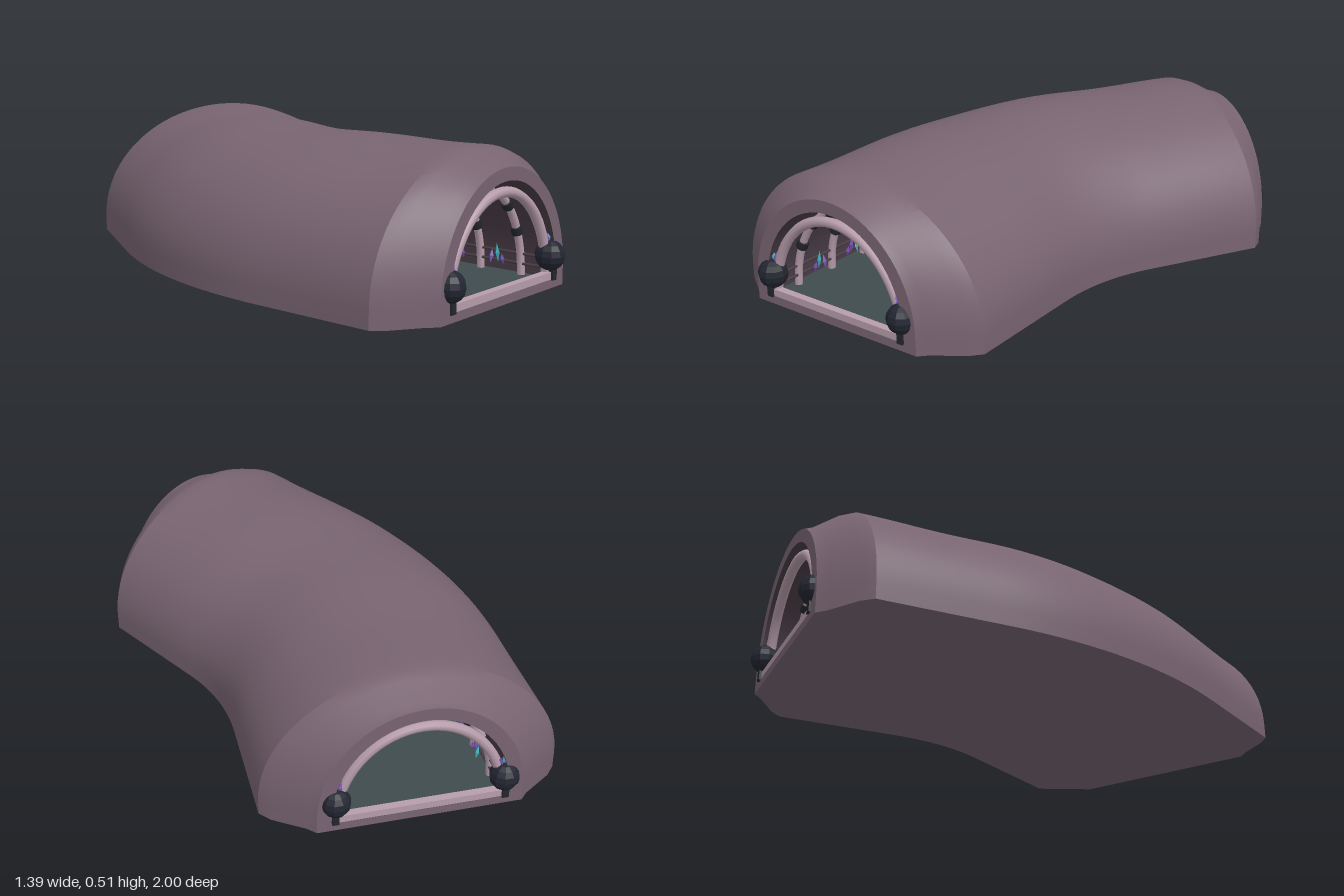
import * as THREE from 'three';
import { toCreasedNormals } from 'three/addons/utils/BufferGeometryUtils.js';

const mat = (name, color, extra = {}) => {
  const m = new THREE.MeshStandardMaterial({ color, ...extra });
  m.name = name;
  return m;
};

// Centre line: straight, a 30 degree bend, straight again
const S1 = 0.61, R = 1.3, BEND = Math.PI / 6, S2 = S1 + R * BEND, END = S2 + 0.6;
const FLOOR = 0.03;

function frame(s) {
  const a = THREE.MathUtils.clamp((s - S1) / R, 0, BEND);
  const extra = s < S1 ? s : s > S2 ? s - S2 : 0;
  let x = -0.17, z = 0.96 - s;
  if (s >= S1) {
    x = -0.17 + R * (1 - Math.cos(a)) + Math.sin(a) * extra;
    z = 0.35 - R * Math.sin(a) - Math.cos(a) * extra;
  }
  return { x, z, a };
}

// Point at distance s along the tunnel, u sideways, y up
function place(s, u, y) {
  const f = frame(s);
  return new THREE.Vector3(f.x + u * Math.cos(f.a), y, f.z + u * Math.sin(f.a));
}

// Arch cross-section: short upright foot, then half an ellipse
function archPoint(s, w, h, base, t) {
  return place(s, -w * Math.cos(t * Math.PI), base + (h - base) * Math.sin(t * Math.PI));
}
function archRow(s, w, h, n = 40) {
  const row = [place(s, -w, 0)];
  for (let j = 0; j <= n; j++) row.push(archPoint(s, w, h, 0.06, j / n));
  row.push(place(s, w, 0));
  return row;
}

// Skin over a series of equally long point rows
function loft(rows, flip = false) {
  const n = rows[0].length, pos = [], idx = [];
  rows.forEach((r) => r.forEach((p) => pos.push(p.x, p.y, p.z)));
  for (let i = 0; i < rows.length - 1; i++) {
    for (let j = 0; j < n - 1; j++) {
      const a = i * n + j, b = a + 1, c = a + n, d = c + 1;
      if (flip) idx.push(a, c, b, b, c, d);
      else idx.push(a, b, c, b, d, c);
    }
  }
  const g = new THREE.BufferGeometry();
  g.setAttribute('position', new THREE.Float32BufferAttribute(pos, 3));
  g.setIndex(idx);
  return toCreasedNormals(g, 0.4);
}

export function createModel() {
  const model = new THREE.Group();
  model.name = 'curvedTunnel';
  const rock = mat('mauve rock', 0x786471);
  const wall = mat('dark inner rock', 0x4a3d46);
  const floorMat = mat('slate floor', 0x3e4b4d);
  const bone = mat('pale pink ribs', 0xb79dab);
  const iron = mat('black iron', 0x24262e);
  const orbMat = mat('dark orb', 0x232631, { flatShading: true });
  const violet = mat('violet crystal', 0x7d52b8, { flatShading: true });
  const cyan = mat('cyan crystal', 0x3fb0ba, { flatShading: true });

  const add = (name, geo, material, parent = model) => {
    const m = new THREE.Mesh(geo, material);
    m.name = name;
    parent.add(m);
    return m;
  };
  const group = (name) => {
    const g = new THREE.Group();
    g.name = name;
    model.add(g);
    return g;
  };
  const tube = (name, pts, r, material, parent) =>
    add(name, new THREE.TubeGeometry(new THREE.CatmullRomCurve3(pts), 36, r, 8), material, parent);
  const range = (n, f) => Array.from({ length: n + 1 }, (_, i) => f(i / n));

  // Outer shell with chamfered mouths, including both end faces
  const W = 0.53, H = 0.508;
  const chamfer = [[0, 0.31, 0.405], [0, 0.36, 0.45], [0.03, 0.39, 0.457], [0.1, 0.495, 0.498]];
  const rows = [
    ...chamfer.map(([s, w, h]) => archRow(s, w, h)),
    ...range(36, (t) => {
      const s = 0.14 + t * (END - 0.28);
      return archRow(s, W, H + 0.003 * Math.cos(s * 11));
    }),
    ...[...chamfer].reverse().map(([s, w, h]) => archRow(END - s, w, h)),
  ];
  add('outerShell', loft(rows), rock);

  // Underside joins the two feet of every outer row
  const feet = rows.slice(1, -1).map((r) => [r[0], r[r.length - 1]]);
  add('underside', loft(feet, true), rock);

  // Inner wall and floor
  add('innerWall', loft(range(36, (t) => archRow(t * END, 0.31, 0.405)), true), wall);
  const line = (s, y) => [place(s, -0.31, y), place(s, 0.31, y)];
  add('floor', loft(range(36, (t) => line(t * END, FLOOR))), floorMat);
  add('frontThreshold', loft([line(0, 0), line(0, FLOOR)]), rock);
  add('backThreshold', loft([line(END, FLOOR), line(END, 0)]), rock);

  // Support ribs, each wrapped with iron clamps
  const ribs = group('ribs');
  const clamps = group('clamps');
  const clampGeo = new THREE.CylinderGeometry(0.021, 0.021, 0.028, 8);
  const up = new THREE.Vector3(0, 1, 0);
  const RIBS = 11;
  const ribAt = (i) => 0.12 + (i / (RIBS - 1)) * (END - 0.24);
  for (let i = 0; i < RIBS; i++) {
    const s = ribAt(i);
    const pts = range(20, (t) => archPoint(s, 0.285, 0.375, FLOOR, t));
    tube('rib', pts, 0.014, bone, ribs);
    for (const t of [0.155, 0.27, 0.385, 0.5, 0.615, 0.73, 0.845]) {
      const c = add('clamp', clampGeo, iron, clamps);
      c.position.copy(archPoint(s, 0.285, 0.375, FLOOR, t));
      const dir = archPoint(s, 0.285, 0.375, FLOOR, t + 0.01).sub(c.position).normalize();
      c.quaternion.setFromUnitVectors(up, dir);
    }
  }

  // Rails running the length of the tunnel
  const rails = group('rails');
  for (const side of [-1, 1]) {
    for (const y of [0.07, 0.105]) {
      tube('rail', range(30, (t) => place(0.04 + t * (END - 0.08), side * 0.278, y)), 0.005, wall, rails);
    }
  }

  // Crystal clusters between the ribs along both walls
  const crystals = group('crystals');
  const crystalGeo = new THREE.OctahedronGeometry(1);
  const crystal = (p, h, tilt, material) => {
    const c = add('crystal', crystalGeo, material, crystals);
    c.position.copy(p);
    c.scale.set(0.009, h, 0.009);
    c.rotation.z = tilt;
  };
  for (let i = 0; i < RIBS - 1; i++) {
    const s = (ribAt(i) + ribAt(i + 1)) / 2;
    for (const side of [-1, 1]) {
      crystal(place(s, side * 0.262, 0.098), 0.036, side * 0.15, i % 2 ? violet : cyan);
      crystal(place(s + 0.022, side * 0.258, 0.085), 0.026, -side * 0.2, i % 2 ? cyan : violet);
      crystal(place(s - 0.022, side * 0.26, 0.08), 0.022, side * 0.3, violet);
    }
  }

  // Mouth frames: arch, sill, posts and orbs at both ends
  const orbGeo = new THREE.SphereGeometry(0.053, 10, 8);
  for (const [name, s, out] of [['frontMouth', 0, 1], ['backMouth', END, -1]]) {
    const mouth = group(name);
    const at = (d) => s + out * d;
    tube('mouthArch', range(24, (t) => archPoint(at(0.025), 0.29, 0.365, FLOOR, t)), 0.018, bone, mouth);
    const angle = -frame(s).a;
    const sill = add('sill', new THREE.BoxGeometry(0.6, 0.026, 0.028), bone, mouth);
    sill.position.copy(place(at(0.015), 0, 0.043));
    sill.rotation.y = angle;
    for (const side of [-1, 1]) {
      const post = add('post', new THREE.BoxGeometry(0.024, 0.06, 0.03), iron, mouth);
      post.position.copy(place(at(0.008), side * 0.297, 0.057));
      post.rotation.y = angle;
      const orb = add('orb', orbGeo, orbMat, mouth);
      orb.position.copy(place(at(0.013), side * 0.294, 0.112));
      orb.rotation.y = angle;
      crystal(place(at(0.02), side * 0.292, 0.175), 0.036, -side * 0.1, cyan);
      crystal(place(at(0.015), side * 0.278, 0.168), 0.03, side * 0.25, violet);
    }
  }
  return model;
}
